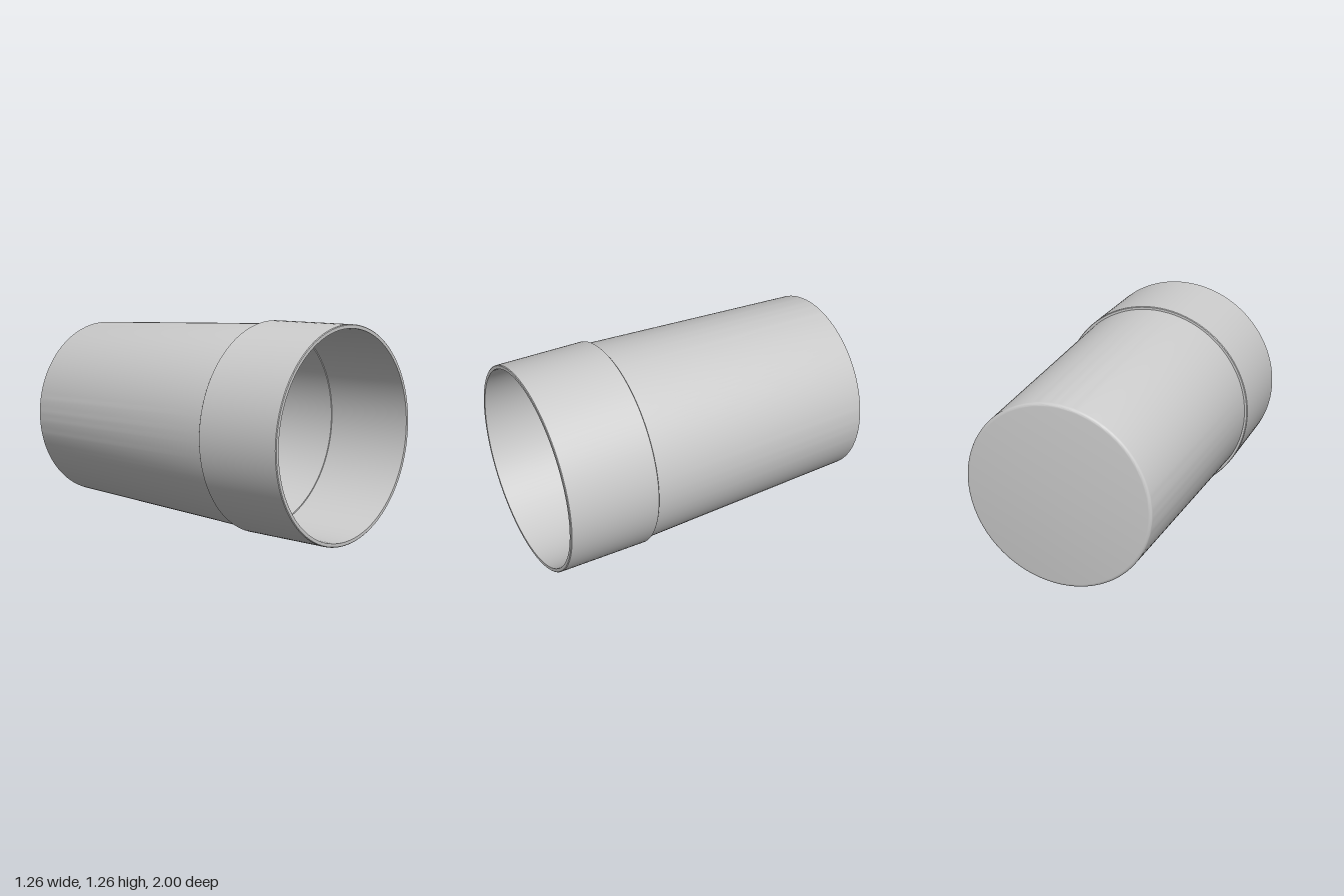
import * as THREE from 'three';
import { toCreasedNormals } from 'three/addons/utils/BufferGeometryUtils.js';

const RADIUS = 0.63;

// Quarter-round between the floor and the wall of the cup, as [radius, z] points
function fillet(r, z, size, steps = 6) {
  return Array.from({ length: steps + 1 }, (_, i) => {
    const a = (i / steps) * Math.PI / 2;
    return [r - size + size * Math.sin(a), z + size - size * Math.cos(a)];
  });
}

// Turns a [radius, z] profile around the z axis
function turned(name, profile) {
  const points = profile.map(([r, z]) => new THREE.Vector2(r, z));
  const lathe = new THREE.LatheGeometry(points, 128);
  lathe.rotateX(Math.PI / 2);
  const mesh = new THREE.Mesh(
    toCreasedNormals(lathe, 0.5),
    new THREE.MeshStandardMaterial({ color: 0xcccccc, side: THREE.DoubleSide })
  );
  mesh.name = name;
  mesh.position.y = RADIUS;
  return mesh;
}

export function createModel() {
  const group = new THREE.Group();
  group.name = 'taperedSleeveCup';

  // Tapered cup: outside from the closed back end, then the inner wall back to the floor
  group.add(turned('taperedBody', [[0, -1], ...fillet(0.561, -1, 0.02), [0.612, 0.45]]));
  group.add(turned('innerLining', [
    [0.6, 0.45],
    ...fillet(0.545, -0.98, 0.02).reverse(),
    [0, -0.98],
  ]));

  // Straight collar with a small step outside and inside, open at the front
  group.add(turned('collar', [
    [0.612, 0.45], [RADIUS - 0.004, 0.45], [RADIUS, 0.454],
    [RADIUS, 0.996], [RADIUS - 0.004, 1],
    [0.607, 1], [0.607, 0.45], [0.6, 0.45],
  ]));

  return group;
}
